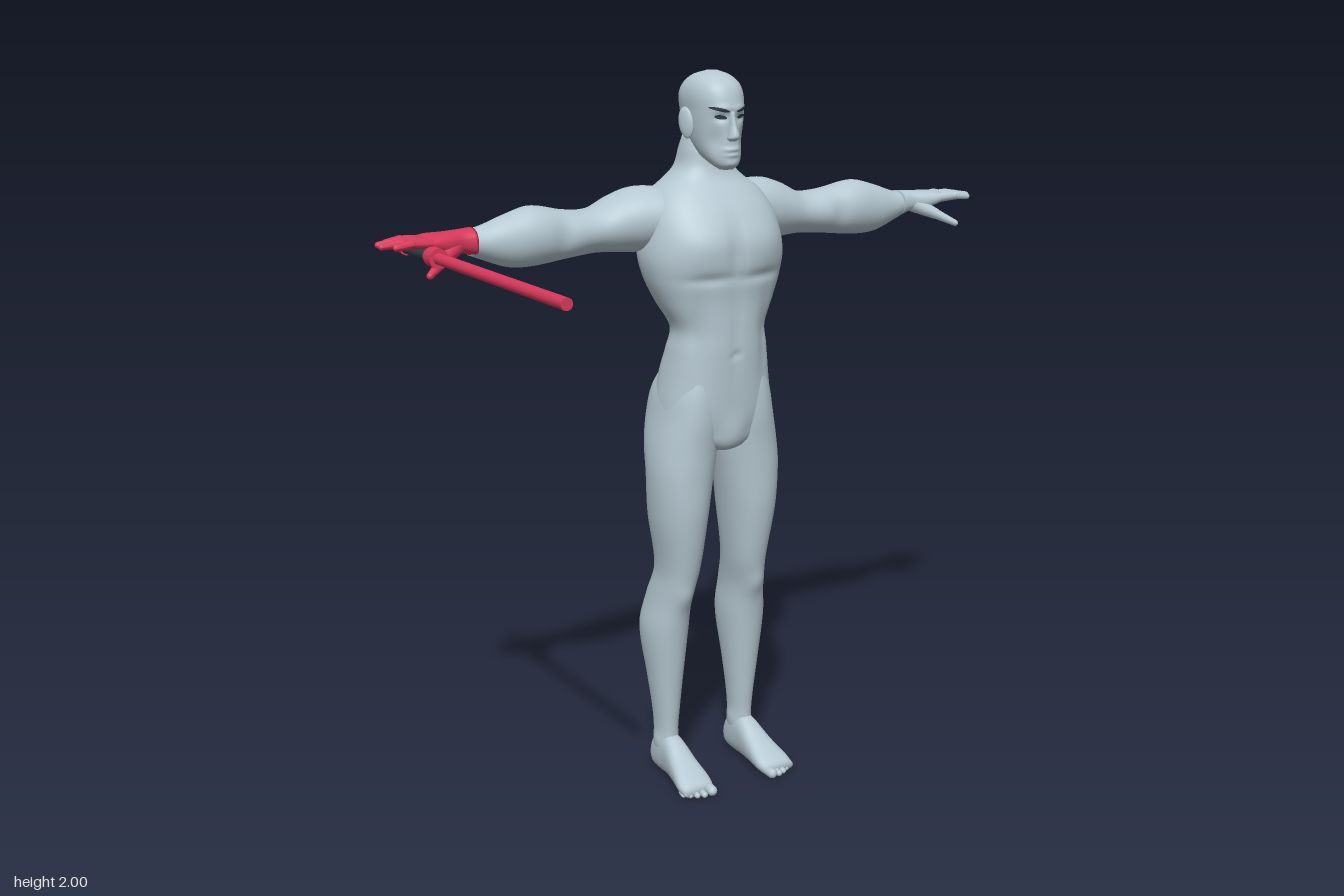
import * as THREE from 'three';

const mat = (name, color) => Object.assign(new THREE.MeshStandardMaterial({ color }), { name });
const AXES = { x: ['x', 'y', 'z'], y: ['y', 'z', 'x'], z: ['z', 'x', 'y'] };

// smooth interpolation of section rows [t, uMin, uMax, vMin, vMax]
function sectionAt(rows, t) {
  let i = 0;
  while (i < rows.length - 2 && t > rows[i + 1][0]) i++;
  const slope = (k, c) => {
    const a = rows[Math.max(k - 1, 0)], b = rows[Math.min(k + 1, rows.length - 1)];
    return (b[c] - a[c]) / (b[0] - a[0]);
  };
  const h = rows[i + 1][0] - rows[i][0], s = (t - rows[i][0]) / h;
  return [1, 2, 3, 4].map((c) =>
    (2 * s ** 3 - 3 * s * s + 1) * rows[i][c] + (s ** 3 - 2 * s * s + s) * h * slope(i, c) +
    (3 * s * s - 2 * s ** 3) * rows[i + 1][c] + (s ** 3 - s * s) * h * slope(i + 1, c));
}

// soft muscle bumps: [x, y, z, rx, ry, rz, dx, dy, dz], mirrored over x
function sculpt(p, bumps) {
  const x = Math.abs(p.x), side = p.x < 0 ? -1 : 1, d = new THREE.Vector3();
  for (const [bx, by, bz, rx, ry, rz, dx, dy, dz] of bumps) {
    const w = Math.exp(-(((x - bx) / rx) ** 2) - ((p.y - by) / ry) ** 2 - ((p.z - bz) / rz) ** 2);
    d.add(new THREE.Vector3(dx * side * w, dy * w, dz * w));
  }
  return p.add(d);
}

// closed skin through superelliptic sections along one axis
function loft(axis, rows, { power = 2, n = 40, steps = 40, bumps = [] } = {}) {
  const [T, U, V] = AXES[axis], pos = [], index = [];
  const t0 = rows[0][0], t1 = rows[rows.length - 1][0];
  const put = (t, u, v) => {
    const p = new THREE.Vector3();
    p[T] = t; p[U] = u; p[V] = v;
    pos.push(...sculpt(p, bumps).toArray());
  };
  const round = (c) => Math.sign(c) * Math.abs(c) ** (2 / power);
  for (let i = 0; i <= steps; i++) {
    const t = t0 + (t1 - t0) * i / steps, [a, b, c, d] = sectionAt(rows, t);
    for (let j = 0; j < n; j++) {
      const q = j / n * Math.PI * 2;
      put(t, (a + b) / 2 + (b - a) / 2 * round(Math.cos(q)), (c + d) / 2 + (d - c) / 2 * round(Math.sin(q)));
    }
  }
  for (const r of [rows[0], rows[rows.length - 1]]) put(r[0], (r[1] + r[2]) / 2, (r[3] + r[4]) / 2);
  const low = (steps + 1) * n;
  for (let j = 0; j < n; j++) {
    const k = (j + 1) % n, e = steps * n;
    for (let i = 0; i < steps; i++) {
      const a = i * n + j, b = i * n + k;
      index.push(a, b, b + n, a, b + n, a + n);
    }
    index.push(low, k, j, low + 1, e + j, e + k);
  }
  const g = new THREE.BufferGeometry();
  g.setAttribute('position', new THREE.Float32BufferAttribute(pos, 3));
  g.setIndex(index);
  g.computeVertexNormals();
  return g;
}

function mirror(geo) {
  const g = geo.clone().scale(-1, 1, 1), ix = g.index.array;
  for (let i = 0; i < ix.length; i += 3) [ix[i], ix[i + 1]] = [ix[i + 1], ix[i]];
  g.computeVertexNormals();
  return g;
}

// tapered round-ended segment from a to b
function digit(a, b, r0, r1) {
  const A = new THREE.Vector3(...a), dir = new THREE.Vector3(...b).sub(A), L = dir.length(), pts = [];
  for (let i = 0; i <= 5; i++) pts.push(new THREE.Vector2(r0 * Math.sin(i * Math.PI / 10), -r0 * Math.cos(i * Math.PI / 10)));
  for (let i = 0; i <= 5; i++) pts.push(new THREE.Vector2(r1 * Math.cos(i * Math.PI / 10), L - r1 + r1 * Math.sin(i * Math.PI / 10)));
  const q = new THREE.Quaternion().setFromUnitVectors(new THREE.Vector3(0, 1, 0), dir.normalize());
  return new THREE.LatheGeometry(pts, 12).applyQuaternion(q).translate(A.x, A.y, A.z);
}

export function createModel() {
  const root = new THREE.Group();
  const skin = mat('paleSkin', 0xb6c8d2), red = mat('gloveRed', 0xd8385a), dark = mat('darkSlate', 0x2f3c48);
  const add = (name, geo, m, parent = root) => {
    const mesh = new THREE.Mesh(geo, m);
    mesh.name = name;
    parent.add(mesh);
    return mesh;
  };
  const pair = (name, geo, m = skin, mRight = m) => {
    add('left' + name, geo, m);
    add('right' + name, mirror(geo), mRight);
  };

  // torso and neck
  const torso = [
    [0.985, -.34, -.23, .03], [1.0, -.39, -.20, .07], [1.05, -.415, -.19, .16], [1.1, -.42, -.18, .166],
    [1.2, -.41, -.172, .152], [1.27, -.385, -.168, .14], [1.33, -.37, -.167, .132], [1.4, -.405, -.166, .165],
    [1.46, -.432, -.16, .19], [1.52, -.45, -.155, .202], [1.58, -.455, -.16, .195], [1.64, -.453, -.187, .18],
    [1.69, -.435, -.225, .15], [1.72, -.42, -.25, .11], [1.75, -.405, -.262, .08], [1.8, -.388, -.268, .068],
    [1.83, -.375, -.275, .06]].map(([y, a, b, h]) => [y, a, b, -h, h]);
  add('torso', loft('y', torso, { power: 2.35, n: 72, steps: 110, bumps: [
    [.09, 1.55, -.16, .07, .06, .08, 0, 0, .009],     // chest muscle
    [0, 1.55, -.15, .014, .08, .08, 0, 0, -.009],     // breastbone groove
    [.08, 1.47, -.15, .07, .014, .08, 0, 0, -.007],   // fold under the chest
    [0, 1.31, -.16, .012, .13, .06, 0, 0, -.005],     // belly line
    [.1, 1.3, -.18, .02, .12, .06, 0, 0, -.008],      // flank line
    [0, 1.26, -.16, .01, .01, .05, 0, 0, -.006],      // navel
    [0, 1.045, -.19, .035, .04, .06, 0, -.008, .012], // groin
    [0, 1.4, -.43, .022, .24, .08, 0, 0, .018],       // spine groove
    [.09, 1.57, -.45, .05, .07, .06, 0, 0, -.008],    // shoulder blade
    [.05, 1.28, -.39, .03, .1, .05, 0, 0, -.009]      // lower back
  ] }), skin);

  // legs with buttocks
  pair('Leg', loft('y', [
    [.05, -.42, -.32, .095, .155], [.13, -.415, -.325, .095, .155], [.2, -.418, -.318, .09, .16],
    [.3, -.432, -.305, .08, .172], [.45, -.457, -.283, .065, .187], [.55, -.435, -.262, .066, .172],
    [.64, -.402, -.235, .055, .163], [.8, -.41, -.205, .035, .185], [.92, -.408, -.197, .018, .192],
    [1, -.43, -.193, .004, .187], [1.08, -.443, -.186, 0, .172], [1.16, -.425, -.188, .004, .155],
    [1.24, -.37, -.2, .03, .115]], { power: 2.15, steps: 80, bumps: [
    [.115, .565, -.26, .03, .035, .04, 0, 0, .01],    // kneecap
    [.12, .56, -.43, .02, .04, .04, 0, 0, .012],      // hollow of the knee
    [.155, .1, -.37, .03, .02, .03, .006, 0, 0],      // ankles
    [.095, .11, -.37, .02, .02, .03, -.006, 0, 0]
  ] }));

  // feet and toes
  pair('Foot', loft('z', [
    [-.432, .11, .138, .02, .05], [-.42, .1, .15, .005, .085], [-.39, .094, .156, 0, .12],
    [-.33, .09, .16, 0, .125], [-.26, .084, .172, 0, .085], [-.2, .08, .184, 0, .052],
    [-.165, .088, .182, .004, .034]], { power: 2.4, n: 28, steps: 28 }));
  for (let i = 0; i < 5; i++) {
    const x = [.099, .123, .142, .159, .174][i], r = i ? .0105 - i * .0007 : .0155, tip = [-.137, -.143, -.151, -.163, -.177][i];
    pair('Toe' + (i + 1), digit([x, r + .004, -.2], [x + .003, r, tip], r, r * .95));
  }

  // arms
  pair('Arm', loft('x', [
    [.05, 1.58, 1.68, -.43, -.28], [.13, 1.55, 1.70, -.45, -.255], [.2, 1.532, 1.703, -.457, -.268],
    [.26, 1.535, 1.685, -.455, -.282], [.32, 1.538, 1.66, -.45, -.293], [.4, 1.532, 1.658, -.44, -.29],
    [.5, 1.522, 1.676, -.425, -.288], [.57, 1.525, 1.66, -.412, -.296], [.64, 1.55, 1.636, -.4, -.31],
    [.675, 1.564, 1.63, -.396, -.317]], { steps: 64, bumps: [
    [.33, 1.66, -.37, .05, .05, .09, 0, -.004, 0],    // below the deltoid
    [.43, 1.6, -.29, .03, .05, .04, 0, 0, -.008],     // elbow crease
    [.44, 1.6, -.44, .03, .03, .03, 0, 0, -.005]      // elbow
  ] }));

  // hands: bare on the left, gloved on the right
  pair('Hand', loft('x', [
    [.662, 1.562, 1.634, -.399, -.314], [.7, 1.572, 1.631, -.395, -.319], [.74, 1.574, 1.629, -.401, -.309],
    [.78, 1.585, 1.627, -.41, -.304], [.805, 1.594, 1.622, -.406, -.308]], { power: 2.4, n: 28, steps: 24 }), skin, red);
  const fingers = [[-.397, -.408, .878, .0105], [-.37, -.373, .91, .0125], [-.344, -.338, .914, .0125], [-.318, -.303, .89, .0125]];
  fingers.forEach(([z0, z1, x1, r], i) => {
    const xm = (.79 + x1) / 2, zm = (z0 + z1) / 2;
    pair('Finger' + (i + 1), digit([.785, 1.608, z0], [xm + .01, 1.612, zm], r * 1.1, r), skin, red);
    pair('Fingertip' + (i + 1), digit([xm, 1.612, zm], [x1, 1.606, z1], r, r * .7), skin, red);
  });
  pair('ThumbBase', digit([.715, 1.592, -.34], [.778, 1.558, -.295], .024, .016), skin, red);
  pair('ThumbTip', digit([.768, 1.563, -.3], [.82, 1.534, -.265], .0145, .009), skin, red);

  // head
  const head = [
    [1.75, -.235, -.2, .018], [1.762, -.26, -.188, .034], [1.785, -.31, -.183, .049], [1.82, -.355, -.184, .06],
    [1.86, -.382, -.184, .067], [1.9, -.395, -.182, .071], [1.94, -.394, -.188, .073], [1.97, -.373, -.205, .063],
    [1.99, -.34, -.236, .041], [2, -.3, -.268, .014]].map(([y, a, b, h]) => [y, a, b, -h, h]);
  const features = [
    [.028, 1.884, -.18, .016, .012, .06, 0, 0, -.008], // eye sockets
    [.025, 1.908, -.18, .03, .01, .06, 0, 0, .004],    // brow ridge
    [.042, 1.825, -.2, .016, .03, .04, -.002, 0, -.006], // cheeks
    [0, 1.803, -.18, .022, .006, .04, 0, 0, .005],     // lips
    [0, 1.788, -.18, .018, .005, .04, 0, 0, .004],
    [0, 1.765, -.19, .02, .012, .04, 0, 0, .005]       // chin
  ];
  add('head', loft('y', head, { power: 2.2, n: 72, steps: 90, bumps: features }), skin);
  add('nose', loft('y', [
    [1.824, -.2, -.178, -.008, .008], [1.831, -.2, -.163, -.016, .016], [1.84, -.2, -.16, -.014, .014],
    [1.865, -.2, -.169, -.009, .009], [1.9, -.2, -.179, -.008, .008]], { n: 20, steps: 24 }), skin);
  const ear = new THREE.SphereGeometry(1, 20, 14).scale(.009, .041, .024).rotateX(-.15).rotateY(-.35);
  pair('Ear', ear.translate(.077, 1.868, -.29));

  // eyes and brows: thin patches that follow the face
  const patch = (x0, x1, y0, y1, half) => {
    const g = new THREE.PlaneGeometry(1, 1, 12, 4), p = g.attributes.position, v = new THREE.Vector3();
    for (let i = 0; i < p.count; i++) {
      const s = p.getX(i) + .5, x = x0 + (x1 - x0) * s;
      const y = y0 + (y1 - y0) * s + 2 * half * p.getY(i) * Math.sqrt(Math.sin(Math.PI * (.04 + .92 * s)));
      const [a, b, , h] = sectionAt(head, y);
      v.set(x, y, (a + b) / 2 + (b - a) / 2 * (1 - (x / h) ** 2.2) ** (1 / 2.2));
      sculpt(v, features);
      p.setXYZ(i, v.x, v.y, v.z + .003);
    }
    g.computeVertexNormals();
    return g;
  };
  pair('Brow', patch(.011, .055, 1.9, 1.911, .0045), dark);
  pair('Eye', patch(.016, .044, 1.884, 1.888, .0055), dark);

  // sword held in the gloved hand
  const sword = new THREE.Group();
  sword.name = 'sword';
  sword.position.set(-.805, 1.585, 0);
  root.add(sword);
  const rod = (name, z0, z1, r, m) =>
    add(name, new THREE.CylinderGeometry(r, r, z1 - z0, 20).rotateX(Math.PI / 2).translate(0, 0, (z0 + z1) / 2), m, sword);
  rod('blade', -.24, .455, .0145, red);
  rod('guard', -.268, -.228, .025, red);
  rod('guardCollar', -.282, -.268, .02, red);
  rod('grip', -.435, -.28, .016, dark);
  rod('pommel', -.453, -.432, .02, red);
  return root;
}
